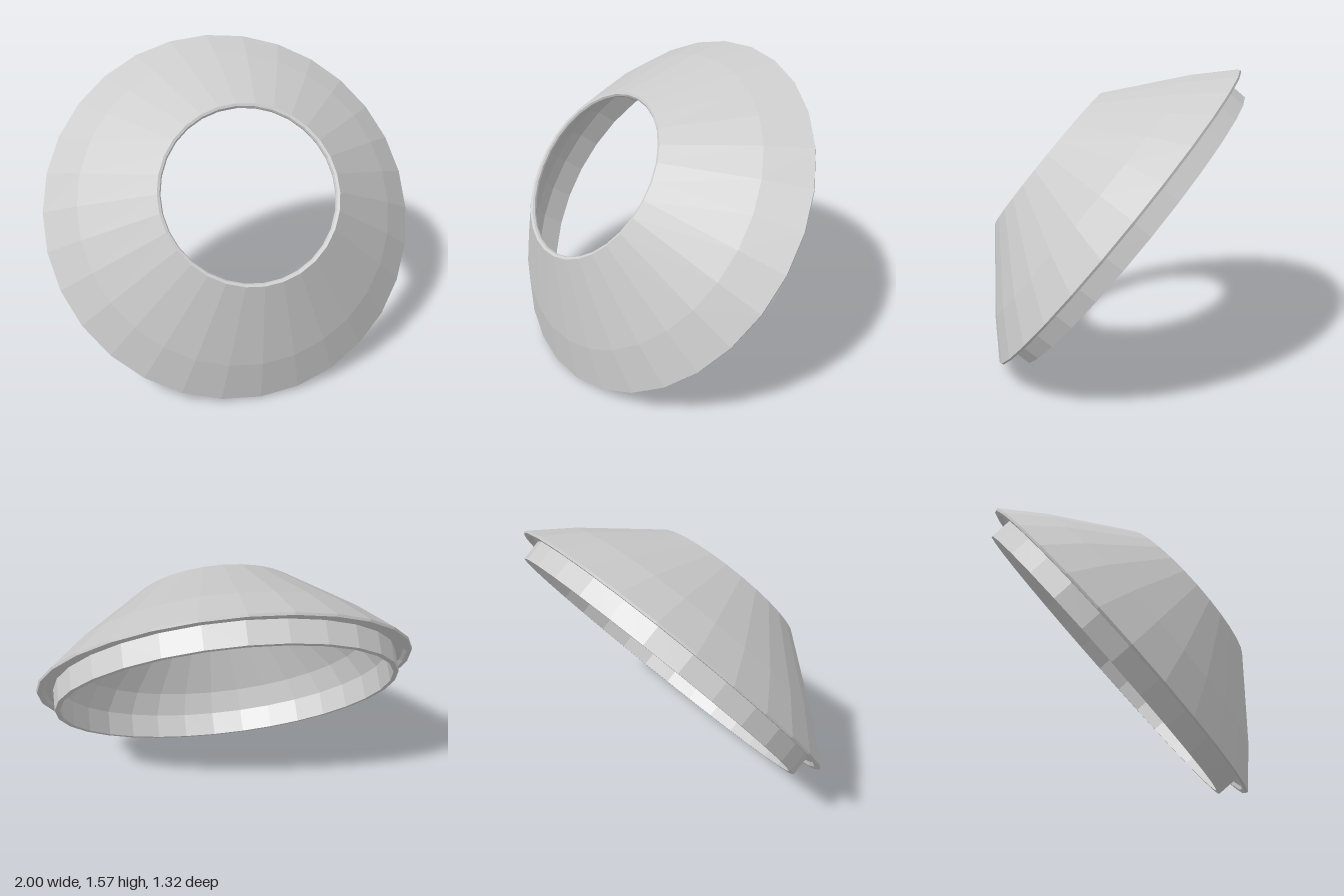
import * as THREE from 'three';

export function createModel() {
  const model = new THREE.Group();
  const material = new THREE.MeshStandardMaterial({ color: 0xcccccc, flatShading: true });

  // Closed wall section (radius, height along the axis), counter-clockwise
  const section = [
    [0.89, -0.11], [0.916, -0.11],                   // end of the mounting collar
    [0.918, 0.005], [0.96, 0.005], [0.975, -0.011],  // groove under the rim
    [1.0, -0.011], [1.005, 0],                       // rim edge
    [0.83, 0.17], [0.455, 0.478],                    // outer bevel and cone
    [0.442, 0.475], [0.436, 0.465],                  // rounded lip of the opening
    [0.437, 0.455], [0.447, 0.445],
    [0.81, 0.15], [0.89, 0.03],                      // inner cone and bevel
    [0.89, -0.11],
  ].map(([r, h]) => new THREE.Vector2(r, h));

  const shell = new THREE.Mesh(new THREE.LatheGeometry(section, 30), material);
  shell.name = 'conicalRing';

  // Tilt the axis forward and rest the rim on the ground
  shell.rotation.x = Math.atan2(0.78, 0.625);
  shell.position.set(0, 0.79, 0.003);
  model.add(shell);
  return model;
}
